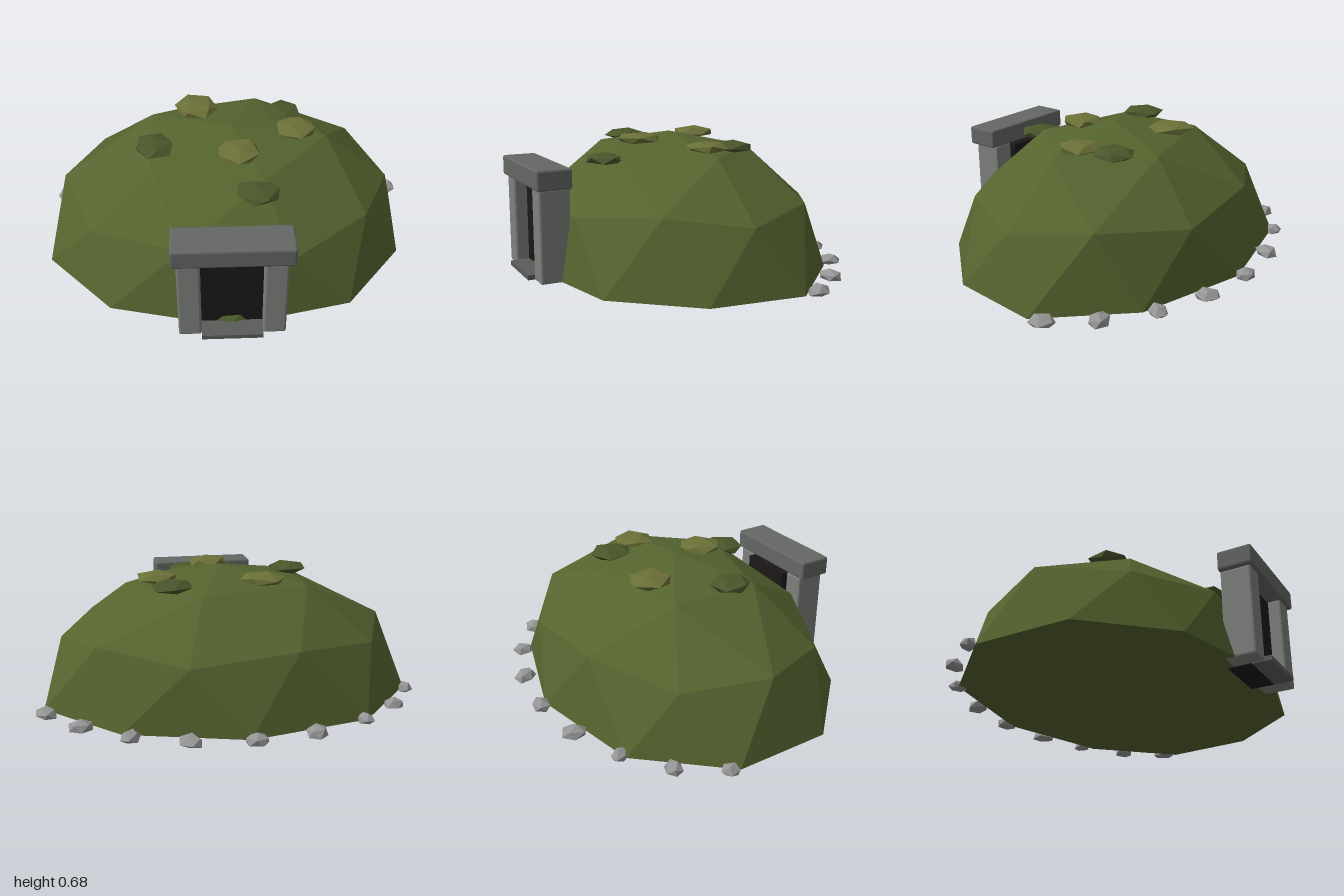
import * as THREE from 'three';
import { RoundedBoxGeometry } from 'three/addons/geometries/RoundedBoxGeometry.js';

const mat = (color) => new THREE.MeshStandardMaterial({ color, flatShading: true });

// Half of a once-subdivided icosahedron, squashed, closed by a flat base
function moundGeometry() {
  const at = (deg, r, y) => {
    const a = THREE.MathUtils.degToRad(deg);
    return [r * 0.97 * Math.cos(a), y, -r * 0.76 * Math.sin(a)];
  };
  const base = 0.003;
  const rim = [
    [0.94, -0.21], [0.58, -0.59], [0, -0.76], [-0.61, -0.63], [-0.96, -0.23],
    [-0.96, 0.26], [-0.62, 0.62], [-0.03, 0.76], [0.58, 0.63], [0.89, 0.26],
  ].map(([x, z]) => [x, base, z]);
  const apex = [0, 0.67, 0.01];
  const crown = [], corner = [], between = [];
  const betweenRadius = [0.86, 0.87, 0.9, 0.85, 0.85];
  for (let k = 0; k < 5; k++) {
    crown.push(at(72 * k, 0.515, 0.59));
    corner.push(at(72 * k, k === 0 ? 0.866 : 0.894, 0.32));
    between.push(at(72 * k + 36, betweenRadius[k], 0.368));
  }
  const tris = [];
  for (let k = 0; k < 5; k++) {
    const n = (k + 1) % 5;
    const e0 = rim[(2 * k + 9) % 10], e1 = rim[2 * k], e2 = rim[2 * k + 1];
    tris.push(
      apex, crown[k], crown[n],
      crown[k], between[k], crown[n],
      crown[k], corner[k], between[k],
      crown[n], between[k], corner[n],
      corner[k], e0, e1,
      corner[k], e1, between[k],
      between[k], e1, e2,
      between[k], e2, corner[n],
      [0, base, 0], e1, e0,
      [0, base, 0], e2, e1,
    );
  }
  const geo = new THREE.BufferGeometry();
  geo.setAttribute('position', new THREE.Float32BufferAttribute(tris.flat(), 3));
  geo.computeVertexNormals();
  return geo;
}

// Tumbled, flattened icosahedron; with a floor, everything below it is cut flat
function lumpGeometry(seed, sx, sy, sz, floor = -Infinity) {
  const geo = new THREE.IcosahedronGeometry(1, 0);
  geo.rotateX(seed * 1.3).rotateZ(seed * 0.7).scale(sx, sy, sz).rotateY(seed * 2.1);
  const p = geo.attributes.position;
  for (let i = 0; i < p.count; i++) p.setY(i, Math.max(p.getY(i), floor));
  geo.computeVertexNormals();
  return geo;
}

export function createModel() {
  const model = new THREE.Group();
  const add = (parent, name, geo, material, x = 0, y = 0, z = 0) => {
    const mesh = new THREE.Mesh(geo, material);
    mesh.name = name;
    mesh.position.set(x, y, z);
    parent.add(mesh);
    return mesh;
  };

  add(model, 'mound', moundGeometry(), mat(0x55642f));

  // Moss patches on the top
  const patches = new THREE.Group();
  patches.name = 'mossPatches';
  model.add(patches);
  const lightMoss = mat(0x6b7038), darkMoss = mat(0x4a562b);
  [
    [-0.17, 0.635, -0.23, 0.125, lightMoss],
    [0.285, 0.607, -0.2, 0.12, darkMoss],
    [0.34, 0.62, -0.03, 0.118, lightMoss],
    [-0.385, 0.618, 0.1, 0.115, darkMoss],
    [0.035, 0.645, 0.2, 0.122, lightMoss],
    [0.12, 0.565, 0.42, 0.118, darkMoss],
  ].forEach(([x, y, z, r, m], i) =>
    add(patches, 'mossPatch', lumpGeometry(i + 1, r, 0.032, r * 0.93), m, x, y, z));

  // Stones around the back of the foot
  const stones = new THREE.Group();
  stones.name = 'footStones';
  model.add(stones);
  const stoneMat = mat(0x969696);
  [
    [-0.95, -0.28, 0.05], [-0.8, -0.49, 0.055], [-0.59, -0.65, 0.05],
    [-0.315, -0.75, 0.068], [-0.02, -0.79, 0.062], [0.28, -0.75, 0.068],
    [0.545, -0.65, 0.06], [0.765, -0.485, 0.066], [0.93, -0.29, 0.068],
  ].forEach(([x, z, r], i) =>
    add(stones, 'footStone', lumpGeometry(i + 2, r, 0.042, r * 0.8, -0.01), stoneMat, x, 0.01, z));

  // Stone doorway
  const entrance = new THREE.Group();
  entrance.name = 'entrance';
  entrance.position.x = -0.018;
  model.add(entrance);
  const postMat = mat(0x7d807d);
  const block = (w, h, d) => new RoundedBoxGeometry(w, h, d, 1, 0.01);
  for (const side of [-1, 1]) {
    add(entrance, side > 0 ? 'leftPost' : 'rightPost', block(0.11, 0.458, 0.155), postMat,
      side * 0.203, 0.229, 0.728);
  }
  add(entrance, 'lintel', block(0.57, 0.1, 0.175), mat(0x646764), 0.003, 0.505, 0.735);
  add(entrance, 'darkDoorway', new THREE.BoxGeometry(0.296, 0.45, 0.12), mat(0x1c1818), 0, 0.225, 0.68);
  add(entrance, 'doorSill', new THREE.BoxGeometry(0.296, 0.024, 0.1), mat(0x5a5c5a), 0, 0.012, 0.787);

  return model;
}
